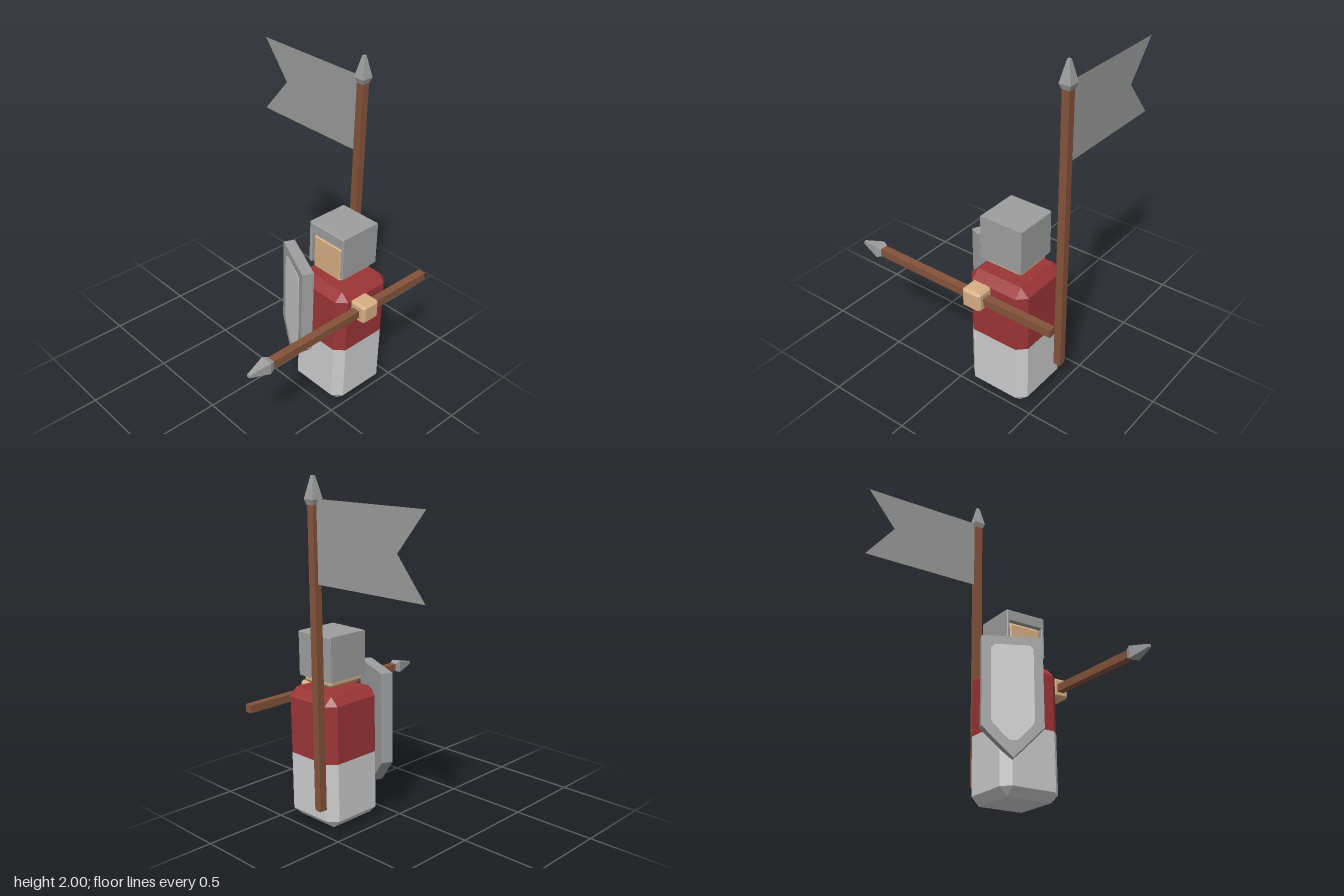
import * as THREE from 'three';
import { ConvexGeometry } from 'three/addons/geometries/ConvexGeometry.js';

const flat = (name, color) => {
  const m = new THREE.MeshStandardMaterial({ color });
  m.name = name;
  return m;
};

export function createModel() {
  const steel = flat('steel grey', 0x9e9e9e);
  const pale = flat('pale grey', 0xcdcdcd);
  const red = flat('red', 0x9b3436);
  const skin = flat('skin', 0xd6ae84);
  const wood = flat('wood', 0x84533a);
  const cloth = flat('banner grey', 0x9a9a9a);
  cloth.side = THREE.DoubleSide;

  const model = new THREE.Group();
  model.name = 'spearman';
  const add = (name, geo, mat, x = 0, y = 0, z = 0, parent = model) => {
    const mesh = new THREE.Mesh(geo, mat);
    mesh.name = name;
    mesh.position.set(x, y, z);
    parent.add(mesh);
    return mesh;
  };

  // Convex solid from stacked rectangles [y, halfWidth, halfDepth, cornerCut]
  const stack = (levels) => {
    const pts = [];
    for (const [y, w, d, c] of levels)
      for (const sx of [-1, 1])
        for (const sz of [-1, 1]) {
          pts.push(new THREE.Vector3(sx * w, y, sz * (d - c)));
          if (c > 0) pts.push(new THREE.Vector3(sx * (w - c), y, sz * d));
        }
    return new ConvexGeometry(pts);
  };
  const chamferBox = (w, h, d, c) => stack([
    [-h / 2, w / 2 - c, d / 2 - c, 0], [-h / 2 + c, w / 2, d / 2, c],
    [h / 2 - c, w / 2, d / 2, c], [h / 2, w / 2 - c, d / 2 - c, 0],
  ]);
  const polygon = (pts) => new THREE.Shape(pts.map(([x, y]) => new THREE.Vector2(x, y)));

  // Body: pale lower half and red upper half
  const r = 0.195, c = 0.05, bx = 0.297, bz = -0.248;
  add('lowerBody', stack([[0, r - c, r - c, 0], [c, r, r, c], [0.4, r, r, c]]), pale, bx, 0, bz);
  add('upperBody', stack([[0.4, r, r, c], [0.74, r, r, c], [0.79, r - c, r - c, 0]]), red, bx, 0, bz);

  // Head inside an open-fronted helmet
  add('head', chamferBox(0.23, 0.23, 0.25, 0.018), skin, bx, 0.935, -0.245);
  const hood = polygon([
    [-0.133, 0.86], [-0.113, 0.86], [-0.113, 1.05], [0.113, 1.05],
    [0.113, 0.86], [0.133, 0.86], [0.133, 1.12], [-0.133, 1.12],
  ]);
  add('helmet', new THREE.ExtrudeGeometry(hood, {
    depth: 0.26, bevelEnabled: true, bevelSegments: 1,
    bevelSize: 0.005, bevelThickness: 0.005, bevelOffset: -0.005,
  }), steel, bx, 0, -0.375);
  add('helmetBack', new THREE.BoxGeometry(0.26, 0.255, 0.018), steel, bx, 0.988, -0.373);

  // Square shaft with a pointed head, running up from the group's origin
  const pole = (name, length) => {
    const g = new THREE.Group();
    g.name = name;
    add('shaft', new THREE.BoxGeometry(0.046, length, 0.046), wood, 0, length / 2, 0, g);
    add('point', stack([[0, 0.025, 0.025, 0], [0.03, 0.035, 0.035, 0], [0.153, 0.008, 0.008, 0]]),
      steel, 0, length, 0, g);
    model.add(g);
    return g;
  };

  // Spear held level in the left hand
  const spear = pole('spear', 1.18);
  spear.position.set(0.544, 0.697, -0.668);
  spear.rotation.x = Math.PI / 2;
  add('hand', chamferBox(0.11, 0.12, 0.122, 0.015), skin, 0.547, 0.7, -0.177);

  // Banner pole on the back with a swallow-tailed flag
  pole('bannerPole', 1.72).position.set(0.174, 0.127, -0.468);
  add('flag', new THREE.ShapeGeometry(polygon([
    [-0.61, 1.43], [0.174, 1.43], [0.174, 1.88], [-0.61, 1.88], [-0.425, 1.655],
  ])), cloth, 0, 0, -0.468);

  // Shield turned outward, with a pale inset panel
  const shield = new THREE.Group();
  shield.name = 'shield';
  shield.position.set(0.147, 0, -0.045);
  shield.rotation.y = -0.437;
  model.add(shield);
  add('shieldBoard', new THREE.ExtrudeGeometry(polygon([
    [0, 0.19], [0.176, 0.365], [0.176, 0.9], [-0.176, 0.9], [-0.176, 0.365],
  ]), { depth: 0.068, bevelEnabled: false }), steel, 0, 0, -0.034, shield);
  add('shieldPanel', new THREE.ExtrudeGeometry(polygon([
    [-0.025, 0.288], [0.025, 0.288], [0.112, 0.378], [0.122, 0.405], [0.122, 0.825],
    [0.1, 0.848], [-0.1, 0.848], [-0.122, 0.825], [-0.122, 0.405], [-0.112, 0.378],
  ]), { depth: 0.004, bevelEnabled: false }), pale, 0, 0, 0.033, shield);

  return model;
}
